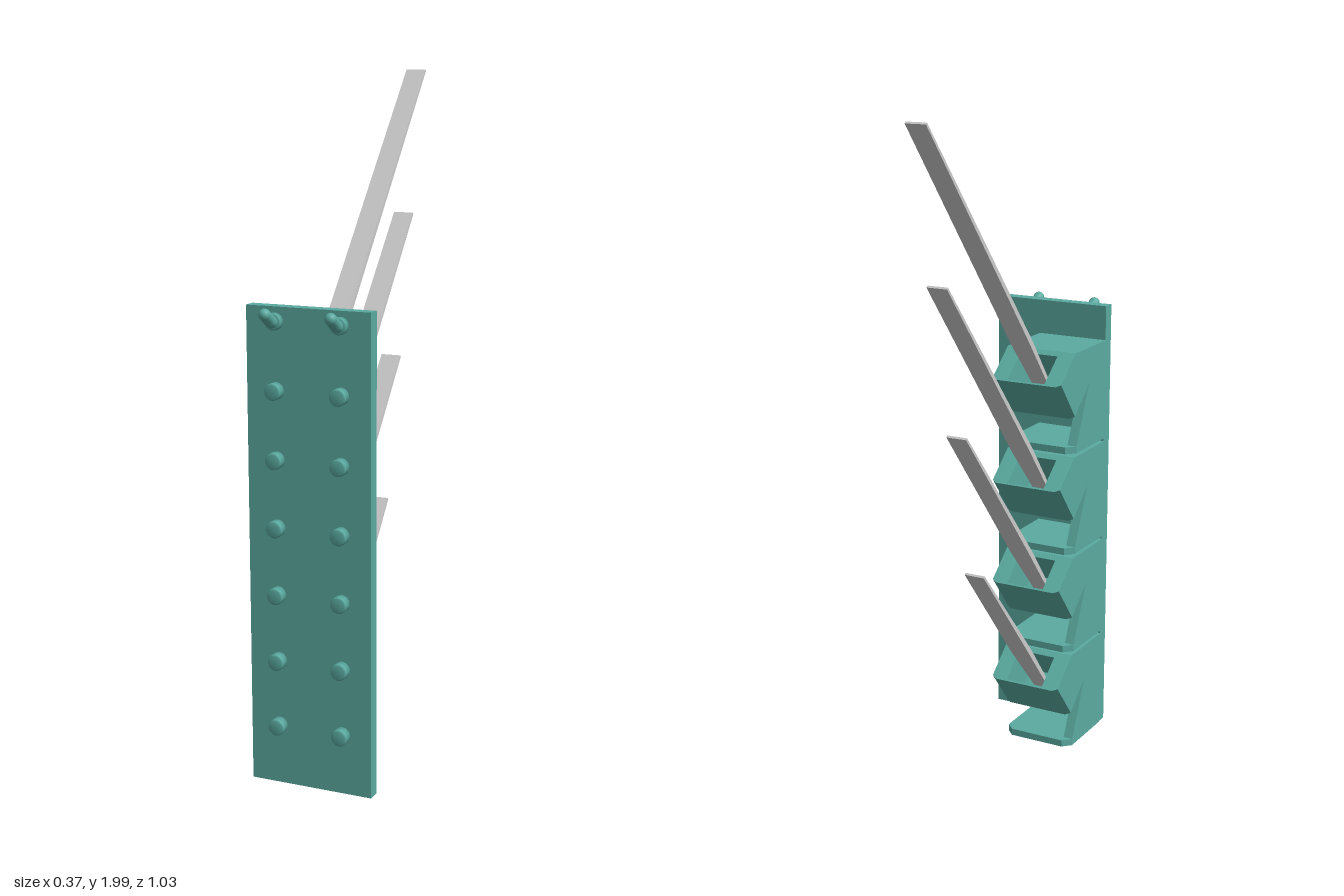
import * as THREE from 'three';

const teal = new THREE.MeshStandardMaterial({ color: 0x5aaaa0 });
const grey = new THREE.MeshStandardMaterial({ color: 0xcccccc });

const LEFT = 0.04, RIGHT = -0.187; // sides of each holder
const UNITS = 4, PITCH = 0.32;

function add(parent, name, geometry, material = teal) {
  const mesh = new THREE.Mesh(geometry, material);
  mesh.name = name;
  parent.add(mesh);
  return mesh;
}

// Extrude a (z, y) side profile across x0..x1
function slab(profile, x0, x1) {
  const shape = new THREE.Shape(profile.map(([z, y]) => new THREE.Vector2(z, y)));
  const g = new THREE.ExtrudeGeometry(shape, { depth: x1 - x0, bevelEnabled: false });
  return g.rotateY(-Math.PI / 2).translate(x1, 0, 0);
}

// Side profile of the tilted socket; the nose corners are indices 2 and 3
const BODY = [[0.4, 0.31], [0.187, 0.31], [0.085, 0.227], [0.18, 0.11], [0.28, 0.197], [0.4, 0.197]];

// The same profile with a blind pocket sunk into the upper tilted face
const POCKET = [
  BODY[0], BODY[1], [0.172, 0.298], [0.248, 0.205], [0.166, 0.138], [0.09, 0.231],
  BODY[2], BODY[3], BODY[4], BODY[5],
];

// Pull the nose corners of an end slab back to bevel its outer edge
function bevelNose(g, outerX) {
  const p = g.attributes.position;
  for (let i = 0; i < p.count; i++) {
    const nose = [BODY[2], BODY[3]].some(([z, y]) => Math.hypot(p.getZ(i) - z, p.getY(i) - y) < 1e-4);
    if (nose && Math.abs(p.getX(i) - outerX) < 1e-4) {
      p.setY(i, p.getY(i) + 0.006);
      p.setZ(i, p.getZ(i) + 0.008);
    }
  }
  g.computeVertexNormals();
  return g;
}

function holder() {
  const g = new THREE.Group();
  const c = 0.016;
  add(g, 'socketPocket', slab(POCKET, -0.134, -0.012));
  add(g, 'socketLeftWall', slab(BODY, -0.012, LEFT - c));
  add(g, 'socketRightWall', slab(BODY, RIGHT + c, -0.134));
  add(g, 'socketLeftEdge', bevelNose(slab(BODY, LEFT - c, LEFT), LEFT));
  add(g, 'socketRightEdge', bevelNose(slab(BODY, RIGHT, RIGHT + c), RIGHT));

  // Gusset on the outer side, joining socket and shelf
  add(g, 'gusset', slab([[0.4, 0.197], [0.28, 0.197], [0.2, 0.02], [0.4, 0.02]], RIGHT, RIGHT + 0.03));

  // Shelf with clipped corners, drawn as (x, -z)
  const k = 0.025;
  const plan = new THREE.Shape([
    [RIGHT, -0.4], [LEFT, -0.4], [LEFT, -0.175 - k], [LEFT - k, -0.175], [RIGHT + k, -0.175], [RIGHT, -0.175 - k],
  ].map(([x, y]) => new THREE.Vector2(x, y)));
  const shelf = new THREE.ExtrudeGeometry(plan, { depth: 0.021, bevelEnabled: false });
  add(g, 'shelf', shelf.rotateX(-Math.PI / 2));
  return g;
}

// Thin flat blade, narrow at its tail and thinning toward the tip
function blade(length) {
  const g = new THREE.BoxGeometry(1, 1, 1, 1, 2, 1).translate(0, 0.5, 0);
  const rows = [[0, 0.046, 0.011], [0.32, 0.066, 0.017], [length, 0.063, 0.007]]; // distance, width, thickness
  const p = g.attributes.position;
  for (let i = 0; i < p.count; i++) {
    const [s, w, t] = rows[Math.round(p.getY(i) * 2)];
    p.setXYZ(i, p.getX(i) * w, s, p.getZ(i) * t);
  }
  g.computeVertexNormals();
  return g;
}

// Round peg pointing along +z, with a small bevel at its end
function peg(length) {
  const pts = [[0, 0], [0.024, 0], [0.024, length - 0.005], [0.02, length], [0, length]];
  const g = new THREE.LatheGeometry(pts.map(([r, y]) => new THREE.Vector2(r, y)), 24);
  return g.rotateX(Math.PI / 2);
}

export function createModel() {
  const model = new THREE.Group();
  model.name = 'bladeRack';

  // Mounting plate
  add(model, 'mountingPlate', new THREE.BoxGeometry(0.37, 1.375, 0.038).translate(0, 0.6875, 0.416));

  // Two columns of pegs with an upturned hook at the top of each
  for (const x of [-0.097, 0.097]) {
    for (let i = 0; i < 6; i++) {
      add(model, 'peg', peg(0.031)).position.set(x, 0.175 + i * 0.1937, 0.434);
    }
    add(model, 'hookBase', peg(0.022)).position.set(x, 1.335, 0.434);
    const hook = new THREE.CatmullRomCurve3([
      [0.44, 1.335], [0.462, 1.337], [0.48, 1.349], [0.498, 1.361],
    ].map(([z, y]) => new THREE.Vector3(x, y, z)));
    add(model, 'hook', new THREE.TubeGeometry(hook, 12, 0.017, 16));
    add(model, 'hookTip', new THREE.SphereGeometry(0.017, 16, 12)).position.set(x, 1.361, 0.498);
  }

  // Stacked holders, each with a blade longer than the one below
  for (let i = 0; i < UNITS; i++) {
    const unit = holder();
    unit.name = 'holder';
    unit.position.y = i * PITCH;
    const b = add(unit, 'blade', blade(0.757 + i * 0.151), grey);
    b.position.set(-0.072, 0.109, 0.273);
    b.rotation.x = -0.708;
    model.add(unit);
  }
  return model;
}
